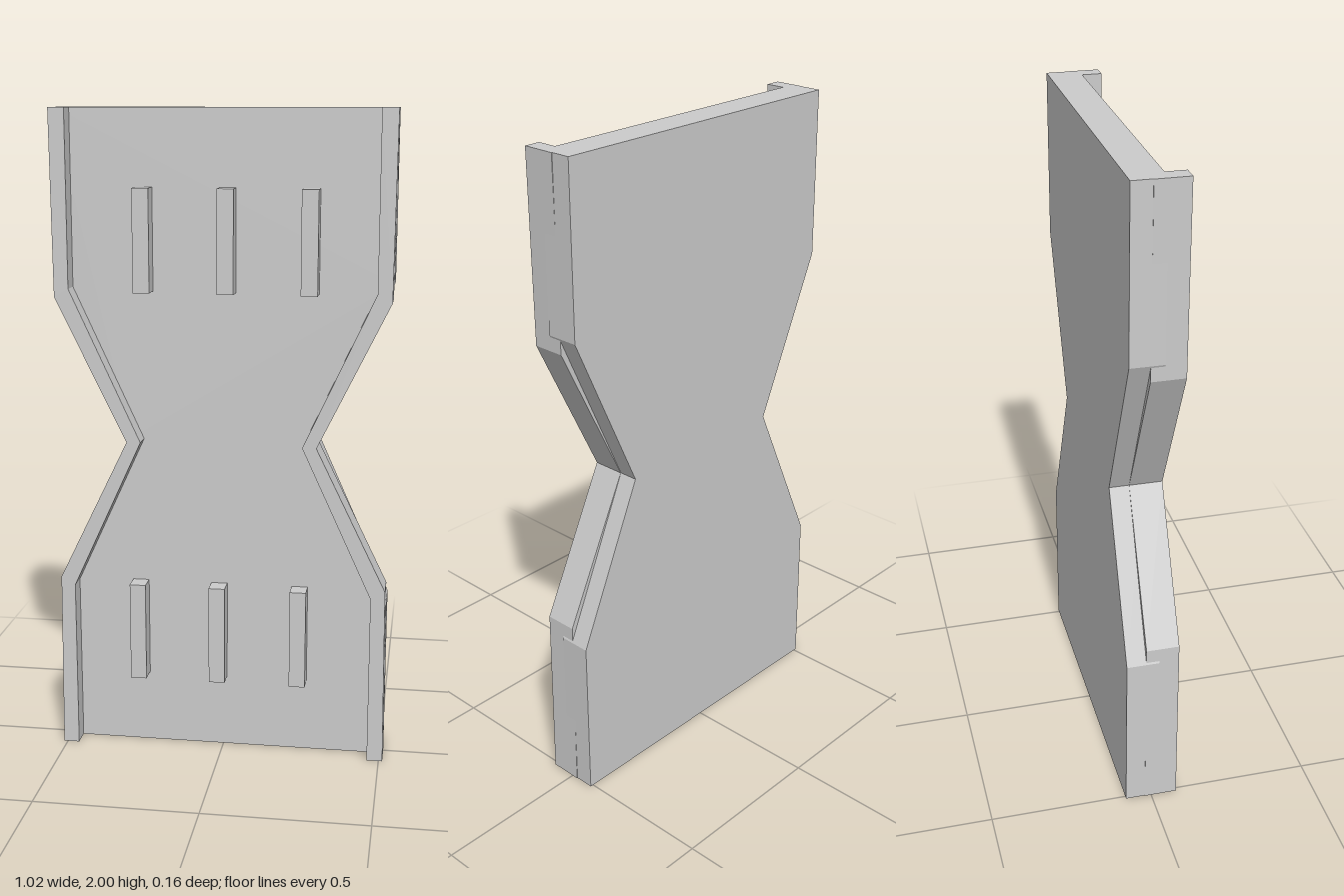
import * as THREE from 'three';

const material = new THREE.MeshStandardMaterial({ color: 0xcccccc, flatShading: true });

// Extrude an outline in the xy plane between two depths
function slab(name, points, z0, z1) {
  const shape = new THREE.Shape(points.map(([x, y]) => new THREE.Vector2(x, y)));
  const geometry = new THREE.ExtrudeGeometry(shape, { depth: z1 - z0, bevelEnabled: false });
  geometry.translate(0, 0, z0);
  const mesh = new THREE.Mesh(geometry, material);
  mesh.name = name;
  return mesh;
}

// One flared half, rising from the waist at y = 0 to y = 1
function createHalf(name) {
  const half = new THREE.Group();
  half.name = name;

  // Back plate, tapering to the waist
  half.add(slab('plate', [
    [-0.29, 0], [0.29, 0], [0.51, 0.49], [0.51, 1], [-0.51, 1], [-0.51, 0.49],
  ], -0.08, 0.02));

  // Raised rims along both sides, standing slightly proud of the plate
  for (const s of [1, -1]) {
    half.add(slab(s > 0 ? 'leftRim' : 'rightRim', [
      [0.248 * s, 0], [0.291 * s, 0], [0.507 * s, 0.442], [0.512 * s, 1],
      [0.463 * s, 1], [0.463 * s, 0.467],
    ], -0.02, 0.08));
  }

  // Three upright bars on the front face
  for (const x of [-0.24, 0.013, 0.263]) {
    const bar = new THREE.Mesh(new THREE.BoxGeometry(0.05, 0.31, 0.07), material);
    bar.position.set(x, 0.613, 0.045);
    bar.name = 'bar';
    half.add(bar);
  }
  return half;
}

export function createModel() {
  const model = new THREE.Group();
  model.name = 'hourglassPanel';

  const upper = createHalf('upperHalf');
  upper.position.y = 1;

  // The lower half is the upper one turned about the waist
  const lower = createHalf('lowerHalf');
  lower.position.y = 1;
  lower.rotation.z = Math.PI;

  model.add(upper, lower);
  return model;
}
